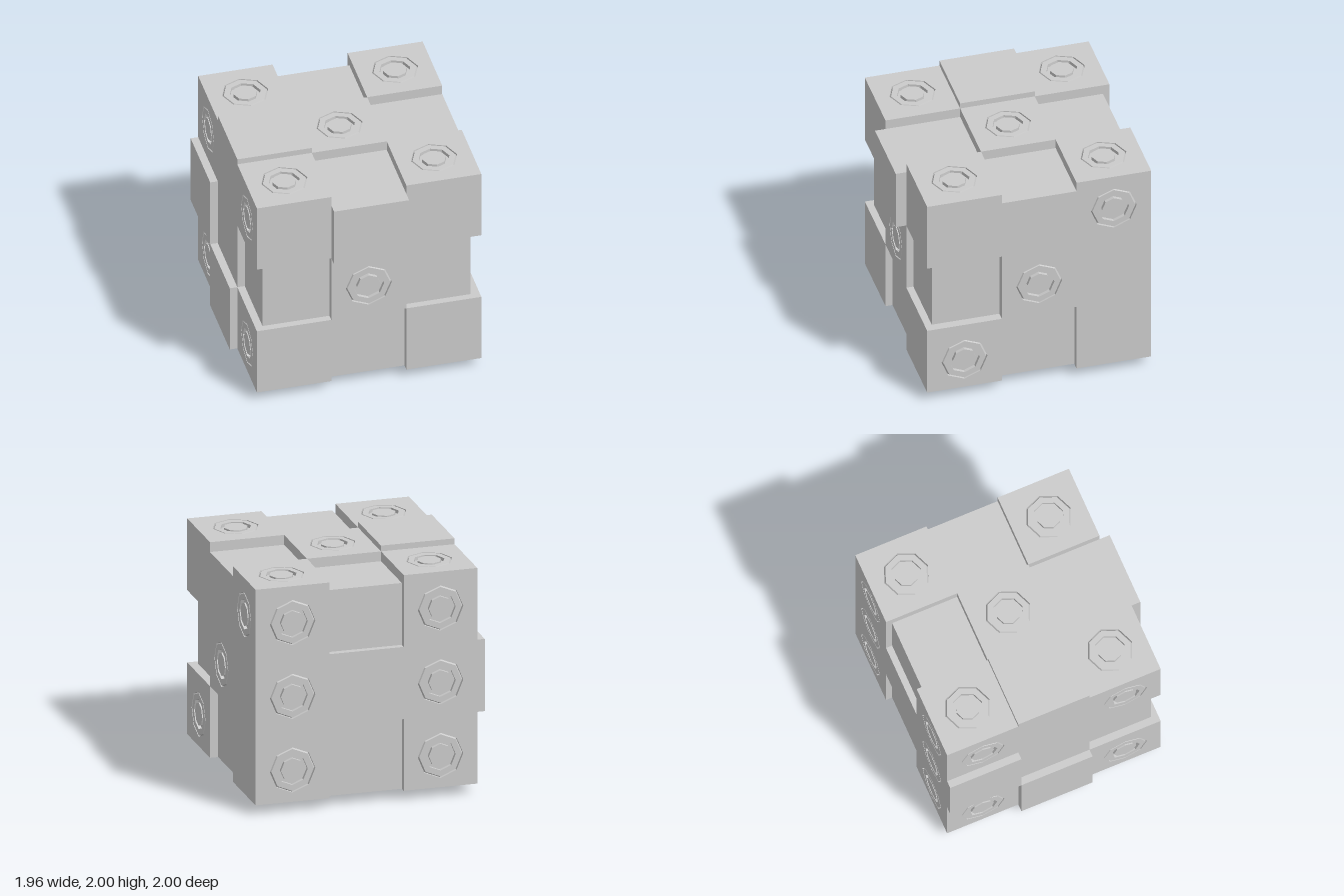
import * as THREE from 'three';
import { mergeGeometries } from 'three/addons/utils/BufferGeometryUtils.js';

// Grid lines that divide the cube into 3 x 3 x 3 blocks
const GRID = [
  [-0.92, -0.29, 0.345, 0.98],
  [0.085, 0.705, 1.33, 1.95],
  [-0.995, -0.36, 0.275, 0.91],
];

// Blocks that stand out or sit back: [block index, axis, direction, new position]
const SHIFTS = [
  [[1, 2, 2], 2, 1, 1.0], [[1, 2, 2], 1, 1, 1.865],
  [[0, 1, 2], 2, 1, 0.85], [[0, 1, 2], 0, -1, -0.857],
  [[2, 1, 2], 2, 1, 0.85], [[2, 1, 2], 0, 1, 0.905],
  [[1, 0, 2], 2, 1, 0.85],
  [[1, 2, 0], 2, -1, -0.94], [[1, 2, 0], 1, 1, 1.865],
  [[1, 0, 0], 2, -1, -0.94],
  [[0, 1, 0], 0, -1, -0.984], [[0, 0, 1], 0, -1, -0.984],
  [[2, 0, 1], 0, 1, 0.91],
  [[0, 2, 1], 1, 1, 2.0], [[2, 2, 1], 1, 1, 1.865],
  [[1, 0, 1], 1, -1, 0],
];

// Blocks carrying a pip on each outer side, one to six as on a die
const PIPS = {
  '2,1': ['1,1,2'],
  '1,-1': ['2,0,2', '0,0,0'],
  '0,1': ['2,2,0', '2,1,1', '2,0,2'],
  '0,-1': ['0,0,0', '0,0,2', '0,2,0', '0,2,2'],
  '1,1': ['0,2,0', '2,2,0', '1,2,1', '0,2,2', '2,2,2'],
  '2,-1': ['0,0,0', '0,1,0', '0,2,0', '2,0,0', '2,1,0', '2,2,0'],
};
const PIP_Y = [0.36, 0.997, 1.635];
const PIP_RADIUS = 0.195;

function blockBounds(index) {
  const min = index.map((i, a) => GRID[a][i]);
  const max = index.map((i, a) => GRID[a][i + 1]);
  for (const [cell, axis, dir, value] of SHIFTS) {
    if (cell.join() === index.join()) (dir > 0 ? max : min)[axis] = value;
  }
  return { min, max };
}

// True where the neighbouring block hides this side completely
function isCovered(index, bounds, axis, dir) {
  const next = [...index];
  next[axis] += dir;
  if (next[axis] < 0 || next[axis] > 2) return false;
  const other = blockBounds(next);
  return [(axis + 1) % 3, (axis + 2) % 3].every(
    (a) => other.min[a] <= bounds.min[a] && other.max[a] >= bounds.max[a]);
}

// Turns a flat piece in local xy so that it looks along the given axis
function faceMatrix(axis, dir, position) {
  const unit = (a) => new THREE.Vector3().setComponent(a, 1);
  const u = unit((axis + 1) % 3);
  const v = unit((axis + 2) % 3);
  const n = unit(axis).multiplyScalar(dir);
  const m = dir > 0
    ? new THREE.Matrix4().makeBasis(u, v, n)
    : new THREE.Matrix4().makeBasis(v, u, n);
  return m.setPosition(...position);
}

// Octagonal pip: a thin outer groove and a wider inner groove
function pipGeometry() {
  const profile = [
    [PIP_RADIUS, 0], [PIP_RADIUS, -0.03], [0.182, 0], [0.13, 0],
    [0.13, -0.03], [0.1, -0.03], [0.1, 0], [0, 0],
  ].map(([r, h]) => new THREE.Vector2(r, h));
  return new THREE.LatheGeometry(profile, 8).rotateX(Math.PI / 2);
}

// Rectangular side of a block, with an octagonal opening if it holds a pip
function sideGeometry(bounds, axis, dir, center, hasPip) {
  let a = (axis + 1) % 3;
  let b = (axis + 2) % 3;
  if (dir < 0) [a, b] = [b, a];
  const x0 = bounds.min[a] - center[a], x1 = bounds.max[a] - center[a];
  const y0 = bounds.min[b] - center[b], y1 = bounds.max[b] - center[b];
  const shape = new THREE.Shape([
    new THREE.Vector2(x0, y0), new THREE.Vector2(x1, y0),
    new THREE.Vector2(x1, y1), new THREE.Vector2(x0, y1),
  ]);
  if (hasPip) {
    const ring = [];
    for (let i = 0; i < 8; i++) {
      const t = (-i * Math.PI) / 4;
      ring.push(new THREE.Vector2(PIP_RADIUS * Math.cos(t), PIP_RADIUS * Math.sin(t)));
    }
    shape.holes.push(new THREE.Path(ring));
  }
  return new THREE.ShapeGeometry(shape);
}

export function createModel() {
  const model = new THREE.Group();
  model.name = 'blockDie';
  const material = new THREE.MeshStandardMaterial({ color: 0xcccccc, flatShading: true });
  const pip = pipGeometry();
  const kinds = ['core', 'centreBlock', 'edgeBlock', 'cornerBlock'];

  for (let x = 0; x < 3; x++) for (let y = 0; y < 3; y++) for (let z = 0; z < 3; z++) {
    const index = [x, y, z];
    const bounds = blockBounds(index);
    const group = new THREE.Group();
    group.name = kinds[index.filter((i) => i !== 1).length];
    const sides = [];

    for (let axis = 0; axis < 3; axis++) for (const dir of [-1, 1]) {
      if (isCovered(index, bounds, axis, dir)) continue;
      const hasPip = PIPS[`${axis},${dir}`].includes(index.join());
      const center = index.map((i, a) => (GRID[a][i] + GRID[a][i + 1]) / 2);
      if (hasPip && axis !== 1) center[1] = PIP_Y[y];
      center[axis] = (dir > 0 ? bounds.max : bounds.min)[axis];
      const matrix = faceMatrix(axis, dir, center);
      sides.push(sideGeometry(bounds, axis, dir, center, hasPip).applyMatrix4(matrix));
      if (hasPip) {
        const mesh = new THREE.Mesh(pip.clone().applyMatrix4(matrix), material);
        mesh.name = 'pip';
        group.add(mesh);
      }
    }
    if (!sides.length) continue;
    const body = new THREE.Mesh(mergeGeometries(sides), material);
    body.name = 'blockBody';
    group.add(body);
    model.add(group);
  }
  return model;
}
